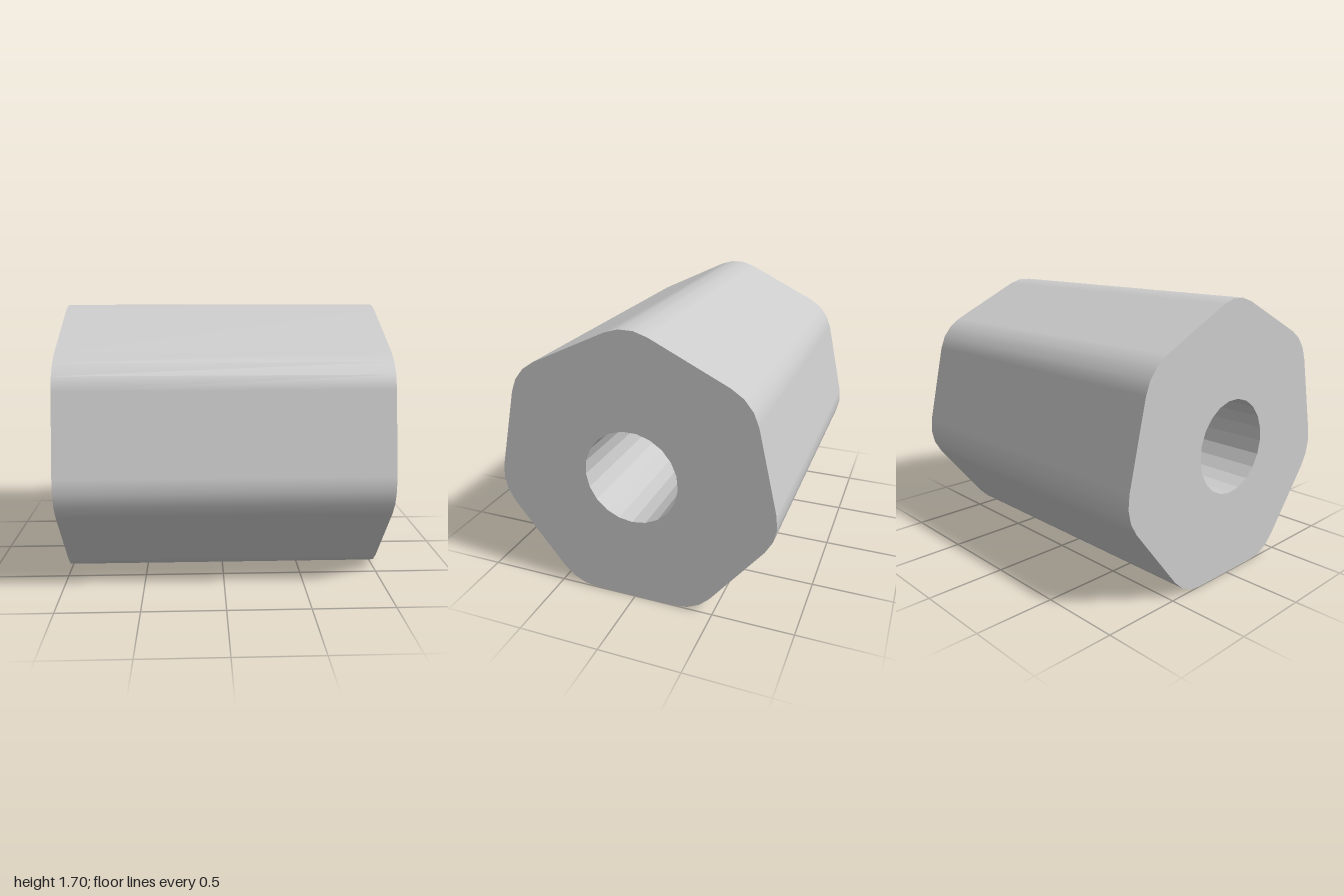
import * as THREE from 'three';

const SIDES = 7, STEPS = 3;         // seven rounded corners, three facets each
const APOTHEM = 0.822, FILLET = 0.29, BORE = 0.29, HALF = 1;
const STEP = (2 * Math.PI) / (SIDES * STEPS);

// Profile entries hold a point and its normal
function outerProfile() {
  const reach = (APOTHEM - FILLET) / Math.cos(Math.PI / SIDES);
  const list = [];
  for (let k = 0; k < SIDES; k++) {
    const mid = Math.PI / 2 + (k * 2 * Math.PI) / SIDES;
    const centre = new THREE.Vector2(Math.cos(mid), Math.sin(mid)).multiplyScalar(reach);
    for (let j = 0; j <= STEPS; j++) {
      const a = mid + (j - STEPS / 2) * STEP;
      const normal = new THREE.Vector2(Math.cos(a), Math.sin(a));
      list.push({ point: centre.clone().addScaledVector(normal, FILLET), normal });
    }
  }
  return list;
}

function boreProfile() {
  const list = [];
  for (let k = 0; k < SIDES * STEPS; k++) {
    const a = -Math.PI / 2 - k * STEP; // clockwise, so the wall faces inward
    const normal = new THREE.Vector2(-Math.cos(a), -Math.sin(a));
    list.push({ point: normal.clone().multiplyScalar(-BORE), normal });
  }
  return list;
}

// Sweeps a closed profile along the length, then lays it along x
function wall(profile) {
  const pos = [], nor = [], index = [], n = profile.length;
  profile.forEach(({ point, normal }, i) => {
    for (const z of [-HALF, HALF]) {
      pos.push(point.x, point.y, z);
      nor.push(normal.x, normal.y, 0);
    }
    const a = 2 * i, b = 2 * ((i + 1) % n);
    index.push(a, b, a + 1, b, b + 1, a + 1);
  });
  const g = new THREE.BufferGeometry();
  g.setAttribute('position', new THREE.Float32BufferAttribute(pos, 3));
  g.setAttribute('normal', new THREE.Float32BufferAttribute(nor, 3));
  g.setIndex(index);
  return g.rotateY(Math.PI / 2);
}

export function createModel() {
  const group = new THREE.Group();
  group.name = 'heptagonalSpacer';
  const smooth = new THREE.MeshStandardMaterial({ color: 0xcccccc });
  const flat = new THREE.MeshStandardMaterial({ color: 0xcccccc, flatShading: true });
  const add = (name, geometry, material) => {
    const mesh = new THREE.Mesh(geometry, material);
    mesh.name = name;
    mesh.position.y = APOTHEM;
    group.add(mesh);
  };

  const outer = outerProfile(), bore = boreProfile();
  add('outerWall', wall(outer), smooth);
  add('boreWall', wall(bore), flat);

  // Ring-shaped end faces
  const shape = new THREE.Shape(outer.map((e) => e.point));
  shape.holes.push(new THREE.Path(bore.map((e) => e.point)));
  for (const [name, side] of [['leftEnd', 1], ['rightEnd', -1]]) {
    const face = new THREE.ShapeGeometry(shape);
    face.translate(0, 0, HALF).rotateY((side * Math.PI) / 2);
    add(name, face, flat);
  }
  return group;
}
